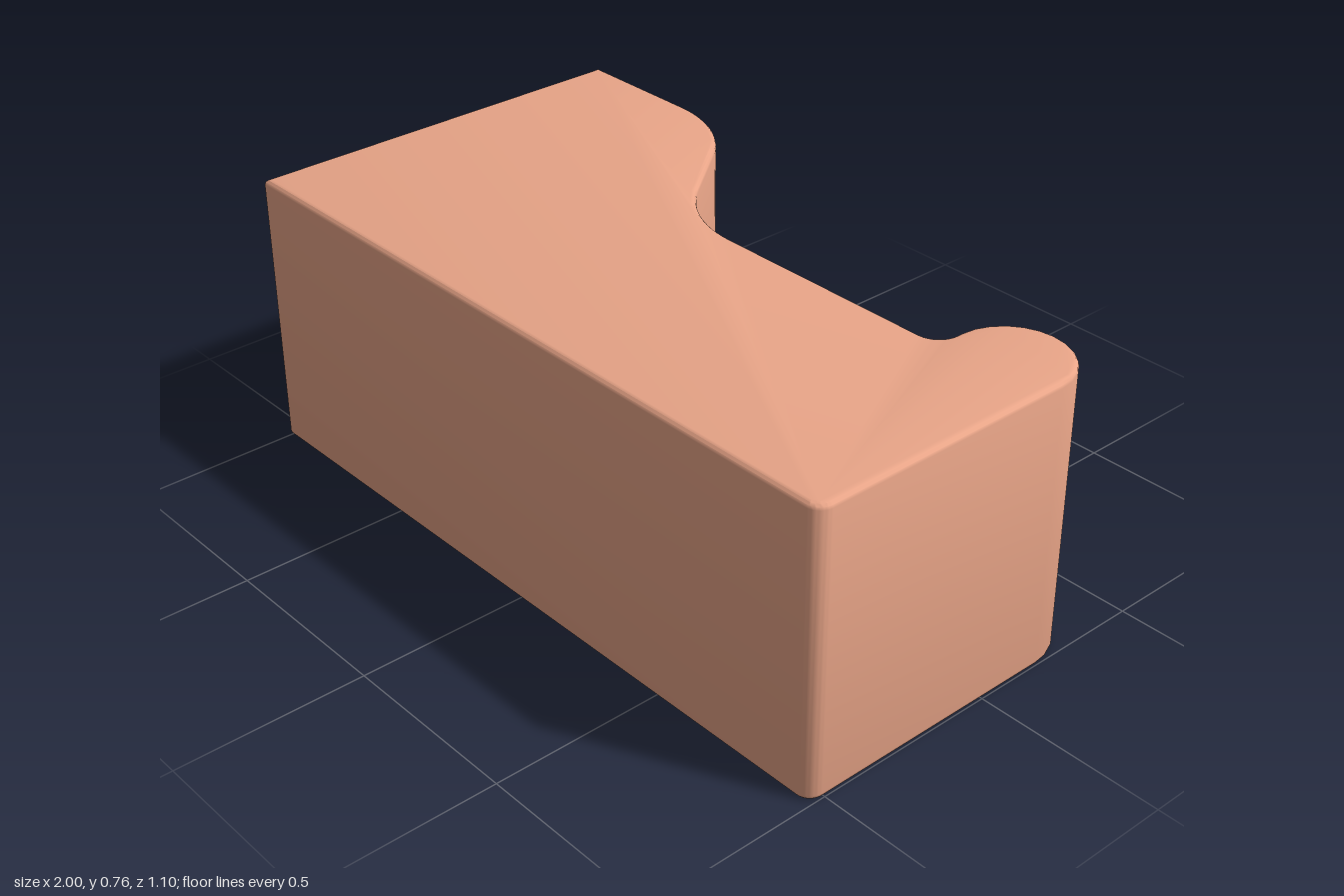
import * as THREE from 'three';
import { toCreasedNormals } from 'three/addons/utils/BufferGeometryUtils.js';

const HEIGHT = 0.76, DEPTH = 0.548, BEVEL = 0.014;

// Plan outline, drawn with shape y pointing to the back (-z)
function planOutline() {
  const rad = THREE.MathUtils.degToRad;
  const s = new THREE.Shape();
  s.moveTo(-1, DEPTH);
  s.lineTo(-1, -DEPTH);
  s.lineTo(0.96, -DEPTH);
  s.absarc(0.96, -DEPTH + 0.04, 0.04, rad(-90), 0, false); // rounded front corner
  s.absarc(0.851, 0.184, 0.149, 0, Math.PI, false); // round lobe
  s.absarc(0.647, 0.167, 0.055, 0, rad(-90), true); // small fillet beside the lobe
  s.absarc(0.03, 0.452, 0.34, rad(-90), rad(-143), true); // S-curve, hollow part
  s.absarc(-0.64, DEPTH - 0.34, 0.34, rad(37), rad(90), false); // S-curve, full part
  return s;
}

export function createModel() {
  const group = new THREE.Group();
  group.name = 'contouredBlock';

  // Solid block with slightly eased top and bottom edges
  const extruded = new THREE.ExtrudeGeometry(planOutline(), {
    depth: HEIGHT - 2 * BEVEL,
    curveSegments: 6,
    bevelEnabled: true,
    bevelThickness: BEVEL,
    bevelSize: BEVEL,
    bevelOffset: -BEVEL,
    bevelSegments: 3,
  });
  extruded.rotateX(-Math.PI / 2);
  extruded.translate(0, BEVEL, 0);

  const block = new THREE.Mesh(
    toCreasedNormals(extruded, 0.6),
    new THREE.MeshStandardMaterial({ color: 0xe9a588 })
  );
  block.name = 'block';
  group.add(block);
  return group;
}
